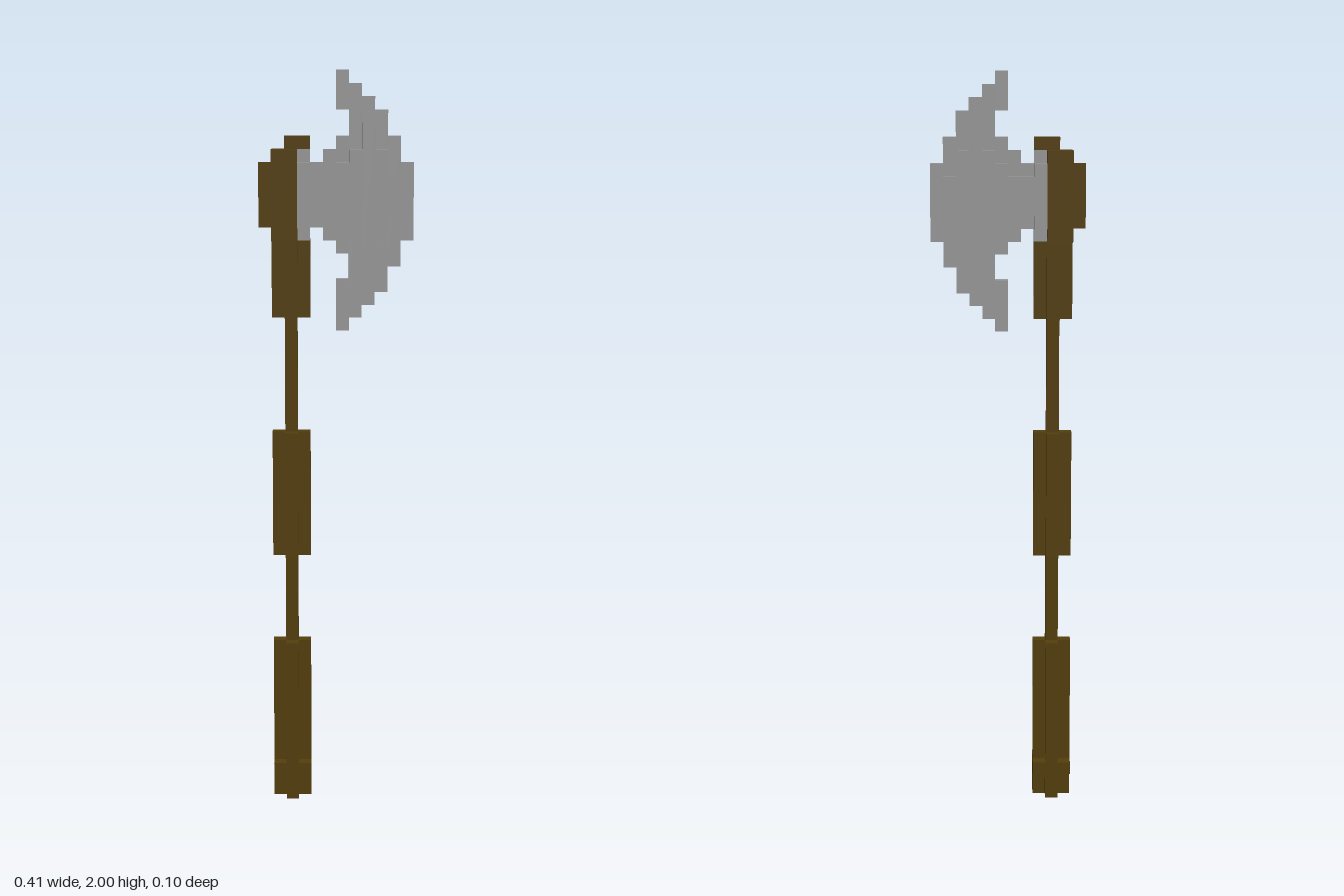
import * as THREE from 'three';
import { mergeGeometries } from 'three/addons/utils/BufferGeometryUtils.js';

const U = 2 / 58; // edge of one block

// Box from block coordinates: columns x0..x1 (0..12), rows y0..y1, depth in blocks
function block(x0, x1, y0, y1, depth) {
  const g = new THREE.BoxGeometry((x1 - x0) * U, (y1 - y0) * U, depth * U);
  g.translate(((x0 + x1) / 2 - 6) * U, ((y0 + y1) / 2) * U, 0);
  return g;
}

export function createModel() {
  const wood = new THREE.MeshStandardMaterial({ name: 'dark wood', color: 0x553f0c });
  const steel = new THREE.MeshStandardMaterial({ name: 'grey steel', color: 0x9b9b9b });
  const axe = new THREE.Group();
  axe.name = 'axe';

  function add(name, material, blocks) {
    const mesh = new THREE.Mesh(mergeGeometries(blocks), material);
    mesh.name = name;
    axe.add(mesh);
  }

  // Thin shaft between the grips
  add('shaft', wood, [block(2, 3, 13, 20, 1), block(2, 3, 30, 39, 1)]);

  // Grips with a plus-shaped section
  const grips = { lowerGrip: [0, 13], middleGrip: [20, 30], upperGrip: [39, 45] };
  for (const [name, [y0, y1]] of Object.entries(grips)) {
    add(name, wood, [block(1, 4, y0, y1, 1), block(2, 3, y0, y1, 3)]);
  }

  // Square ring near the foot
  add('pommelRing', wood, [block(1, 4, 2, 3, 3)]);

  // Wooden head with a back plate and a top cap
  add('headBlock', wood, [block(1, 3, 45, 52, 3)]);
  add('backPlate', wood, [block(0, 1, 46, 51, 1)]);
  add('topCap', wood, [block(2, 4, 52, 53, 1)]);

  // Thin blade: [column, bottom row, top row]
  const thin = [
    [3, 45, 52], [4, 46, 51], [5, 45, 52],
    [6, 38, 42], [6, 44, 53], [6, 55, 58],
    [7, 39, 57], [8, 40, 56], [9, 41, 55], [10, 43, 53], [11, 45, 51],
  ];
  add('blade', steel, thin.map(([x, y0, y1]) => block(x, x + 1, y0, y1, 1)));

  // Thick cheeks on both faces of the blade
  const thick = [
    [3, 46, 51], [4, 47, 50], [5, 47, 50], [6, 46, 51],
    [7, 45, 52], [8, 43, 54], [9, 45, 52], [10, 47, 50],
  ];
  add('bladeCheeks', steel, thick.map(([x, y0, y1]) => block(x, x + 1, y0, y1, 3)));

  return axe;
}
